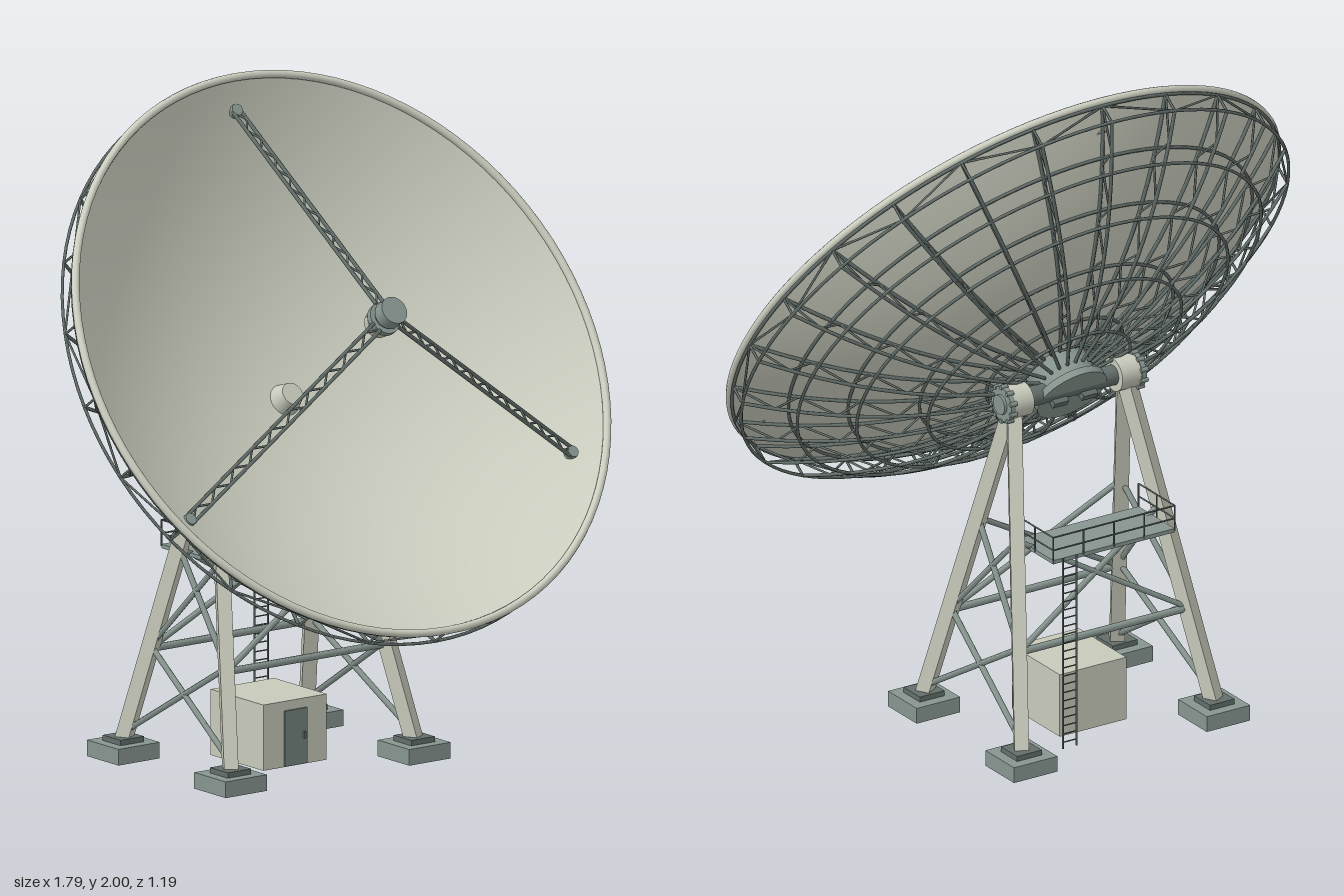
import * as THREE from 'three';
import { mergeGeometries } from 'three/addons/utils/BufferGeometryUtils.js';

const mat = (name, color, side = THREE.FrontSide) => {
  const m = new THREE.MeshStandardMaterial({ color, side });
  m.name = name;
  return m;
};
const V = (x, y, z) => new THREE.Vector3(x, y, z);
const UP = V(0, 1, 0);

// Turn a geometry standing on the y axis so that it runs from a to b
function span(g, a, b) {
  const dir = b.clone().sub(a).normalize();
  g.applyQuaternion(new THREE.Quaternion().setFromUnitVectors(UP, dir));
  return g.translate((a.x + b.x) / 2, (a.y + b.y) / 2, (a.z + b.z) / 2);
}
const bar = (a, b, r) => span(new THREE.CylinderGeometry(r, r, a.distanceTo(b), 6), a, b);

export function createModel() {
  const cream = mat('cream paint', 0xc7cabb);
  const creamShell = mat('cream reflector paint', 0xcdd0c1, THREE.DoubleSide);
  const slate = mat('slate steel', 0x87958f);
  const dark = mat('dark steel', 0x626e6a);
  const door = mat('door grey', 0x74837e);

  const root = new THREE.Group();
  root.name = 'dishAntenna';
  const add = (parent, name, geo, m) => {
    const mesh = new THREE.Mesh(geo, m);
    mesh.name = name;
    parent.add(mesh);
    return mesh;
  };
  const box = (parent, name, w, h, d, x, y, z, m) =>
    add(parent, name, new THREE.BoxGeometry(w, h, d).translate(x, y, z), m);
  const cyl = (parent, name, r1, r2, y0, y1, m, n = 32) =>
    add(parent, name, new THREE.CylinderGeometry(r1, r2, y1 - y0, n).translate(0, (y0 + y1) / 2, 0), m);

  // Dish assembly: local +y is the pointing axis, origin at the rim centre
  const dish = new THREE.Group();
  dish.name = 'dish';
  dish.position.set(0, 1.265, 0.085);
  dish.rotation.x = THREE.MathUtils.degToRad(55);
  root.add(dish);

  const R = 0.89, D = 0.335;
  const bowl = r => -D * (1 - (r / R) ** 2);
  const profile = off => Array.from({ length: 25 }, (_, i) => {
    const r = Math.max(0.0001, (R * i) / 24);
    return new THREE.Vector2(r, bowl(r) + off);
  });
  add(dish, 'reflectorFront', new THREE.LatheGeometry(profile(0), 96), creamShell);
  add(dish, 'reflectorBack', new THREE.LatheGeometry(profile(-0.012), 96), creamShell);
  add(dish, 'rim', new THREE.TorusGeometry(R - 0.006, 0.012, 10, 96).rotateX(Math.PI / 2).translate(0, -0.006, 0), creamShell);

  // Backing structure: curved radial rib trusses tied by round hoops
  const N = 24, STEPS = 10, R0 = 0.1, R1 = 0.885;
  const node = (i, r, back) => {
    const a = (i / N) * Math.PI * 2;
    const y = bowl(r) - 0.018 - (back ? 0.047 + 0.012 * (r / R) : 0);
    return V(Math.sin(a) * r, y, -Math.cos(a) * r);
  };
  const ribs = [], hoops = [], lacing = [];
  for (let i = 0; i < N; i++) {
    for (let k = 0; k < STEPS; k++) {
      const r0 = R0 + ((R1 - R0) * k) / STEPS, r1 = R0 + ((R1 - R0) * (k + 1)) / STEPS;
      for (const back of [0, 1]) ribs.push(bar(node(i, r0, back), node(i, r1, back), 0.0055));
      ribs.push(bar(node(i, r0, k % 2), node(i, r1, 1 - (k % 2)), 0.0035));
    }
    ribs.push(bar(node(i, R1, 0), node(i, R1, 1), 0.004));
    lacing.push(bar(node(i, R1, i % 2), node(i + 1, R1, 1 - (i % 2)), 0.0035));
  }
  for (const r of [0.22, 0.41, 0.6, 0.75, R1]) for (const back of [0, 1])
    hoops.push(new THREE.TorusGeometry(r, 0.005, 6, 96).rotateX(Math.PI / 2).translate(0, node(0, r, back).y, 0));
  add(dish, 'ribTrusses', mergeGeometries(ribs), dark);
  add(dish, 'hoops', mergeGeometries(hoops), dark);
  add(dish, 'rimLacing', mergeGeometries(lacing), dark);

  // Hub behind the bowl
  cyl(dish, 'hubDrum', 0.095, 0.095, -0.43, -0.335, slate);
  cyl(dish, 'hubPlate', 0.112, 0.112, -0.447, -0.425, slate, 40);
  for (const s of [-1, 1]) box(dish, 'hubLug', 0.05, 0.025, 0.022, s * 0.05, -0.455, 0, dark);

  // Feed horn at the vertex
  cyl(dish, 'feedCone', 0.034, 0.05, -0.34, -0.288, cream);

  // Secondary reflector head
  cyl(dish, 'headReflector', 0.048, 0.04, 0.195, 0.228, cream);
  cyl(dish, 'headNeck', 0.034, 0.034, 0.22, 0.27, dark);
  cyl(dish, 'headCollar', 0.05, 0.05, 0.232, 0.25, slate);
  cyl(dish, 'headCanister', 0.042, 0.042, 0.262, 0.303, slate);

  // Three flat lattice struts carrying the head
  for (let j = 0; j < 3; j++) {
    const strut = new THREE.Group();
    strut.name = 'feedStrut';
    strut.rotation.y = (j * Math.PI * 2) / 3;
    dish.add(strut);
    const out = V(0, bowl(0.8) + 0.008, -0.8), inn = V(0, 0.25, -0.045);
    const at = (t, s) => out.clone().lerp(inn, t).add(V(s * 0.014, 0, 0));
    const parts = [-1, 1].map(s => bar(at(0, s), at(1, s), 0.006));
    const n = 20;
    for (let i = 0; i < n; i++) {
      const s = i % 2 ? 1 : -1;
      parts.push(bar(at(i / n, s), at((i + 1) / n, -s), 0.0035));
    }
    add(strut, 'strutLattice', mergeGeometries(parts), dark);
    add(strut, 'strutFoot', new THREE.CylinderGeometry(0.018, 0.02, 0.022, 16).translate(0, bowl(0.8) + 0.006, -0.8), slate);
  }

  // Elevation axle, bearing drums and bolted flanges
  const PY = 1.03, PZ = -0.265;
  const axial = (name, r, x0, x1, m) =>
    add(root, name, new THREE.CylinderGeometry(r, r, x1 - x0, 28).rotateZ(Math.PI / 2).translate((x0 + x1) / 2, PY, PZ), m);
  axial('elevationAxle', 0.03, -0.2, 0.2, dark);
  for (const s of [-1, 1]) {
    axial('bearingDrum', 0.05, s * 0.185 - 0.033, s * 0.185 + 0.033, cream);
    axial('bearingFlange', 0.053, s * 0.226 - 0.008, s * 0.226 + 0.008, slate);
    axial('bearingCap', 0.03, s * 0.238 - 0.005, s * 0.238 + 0.005, slate);
    const bolts = [];
    for (let i = 0; i < 10; i++) {
      const a = (i * Math.PI) / 5;
      bolts.push(new THREE.CylinderGeometry(0.007, 0.007, 0.024, 6).rotateZ(Math.PI / 2)
        .translate(s * 0.226, PY + Math.cos(a) * 0.053, PZ + Math.sin(a) * 0.053));
    }
    add(root, 'bearingBolts', mergeGeometries(bolts), slate);
  }

  // Tower: four splayed square legs, each turned to face its lean
  const foot = (sx, sz) => V(sx * 0.333, 0.05, PZ + sz * 0.255);
  const legAt = (sx, sz, y) => foot(sx, sz).lerp(V(sx * 0.19, PY, PZ), (y - 0.05) / (PY - 0.05));
  for (const sx of [-1, 1]) for (const sz of [-1, 1]) {
    const f = foot(sx, sz);
    box(root, 'footing', 0.15, 0.048, 0.15, f.x, 0.024, f.z, slate);
    box(root, 'basePlate', 0.085, 0.016, 0.085, f.x, 0.056, f.z, dark);
    const a = legAt(sx, sz, 0.055), b = legAt(sx, sz, 1.02);
    const leg = new THREE.BoxGeometry(0.042, a.distanceTo(b), 0.042).rotateY(Math.atan2(sx * 0.143, sz * 0.255));
    add(root, 'towerLeg', span(leg, a, b), cream);
  }

  // Cross bracing: two bays on each side, one bay front and rear
  const braces = [];
  for (const s of [-1, 1]) {
    for (const [y0, y1] of [[0.08, 0.34], [0.34, 0.64]]) for (const t of [-1, 1])
      braces.push(bar(legAt(s, t, y0), legAt(s, -t, y1), 0.009));
    for (const t of [-1, 1]) braces.push(bar(legAt(t, s, 0.33), legAt(-t, s, 0.64), 0.009));
    braces.push(bar(legAt(-1, s, 0.33), legAt(1, s, 0.33), 0.011));
  }
  add(root, 'towerBraces', mergeGeometries(braces), slate);

  // Service platform with railing
  const px = 0.21, zf = -0.31, zb = -0.5, fy = 0.612;
  box(root, 'platformDeck', px * 2, 0.012, zf - zb, 0, fy, (zf + zb) / 2, slate);
  const rails = [];
  for (const h of [0.65, 0.69]) {
    rails.push(bar(V(-px, h, zb), V(px, h, zb), 0.0025));
    for (const s of [-1, 1]) rails.push(bar(V(s * px, h, zf), V(s * px, h, zb), 0.0025));
  }
  for (let i = 0; i < 5; i++) {
    const x = -px + (i * px) / 2;
    rails.push(bar(V(x, fy, zb), V(x, 0.69, zb), 0.0025));
  }
  for (const s of [-1, 1]) for (const z of [zf, (zf + zb) / 2])
    rails.push(bar(V(s * px, fy, z), V(s * px, 0.69, z), 0.0025));
  add(root, 'platformRailing', mergeGeometries(rails), dark);

  // Access ladder
  const ladder = [];
  for (const x of [0.132, 0.18]) ladder.push(bar(V(x, 0.02, -0.505), V(x, 0.62, -0.505), 0.003));
  for (let y = 0.04; y < 0.61; y += 0.026) ladder.push(bar(V(0.132, y, -0.505), V(0.18, y, -0.505), 0.002));
  add(root, 'ladder', mergeGeometries(ladder), dark);

  // Equipment hut
  box(root, 'hut', 0.23, 0.195, 0.25, 0, 0.0975, -0.265, cream);
  box(root, 'hutDoor', 0.08, 0.165, 0.008, 0, 0.0845, -0.138, door);
  box(root, 'doorHandle', 0.006, 0.02, 0.008, 0.028, 0.088, -0.131, dark);

  return root;
}
